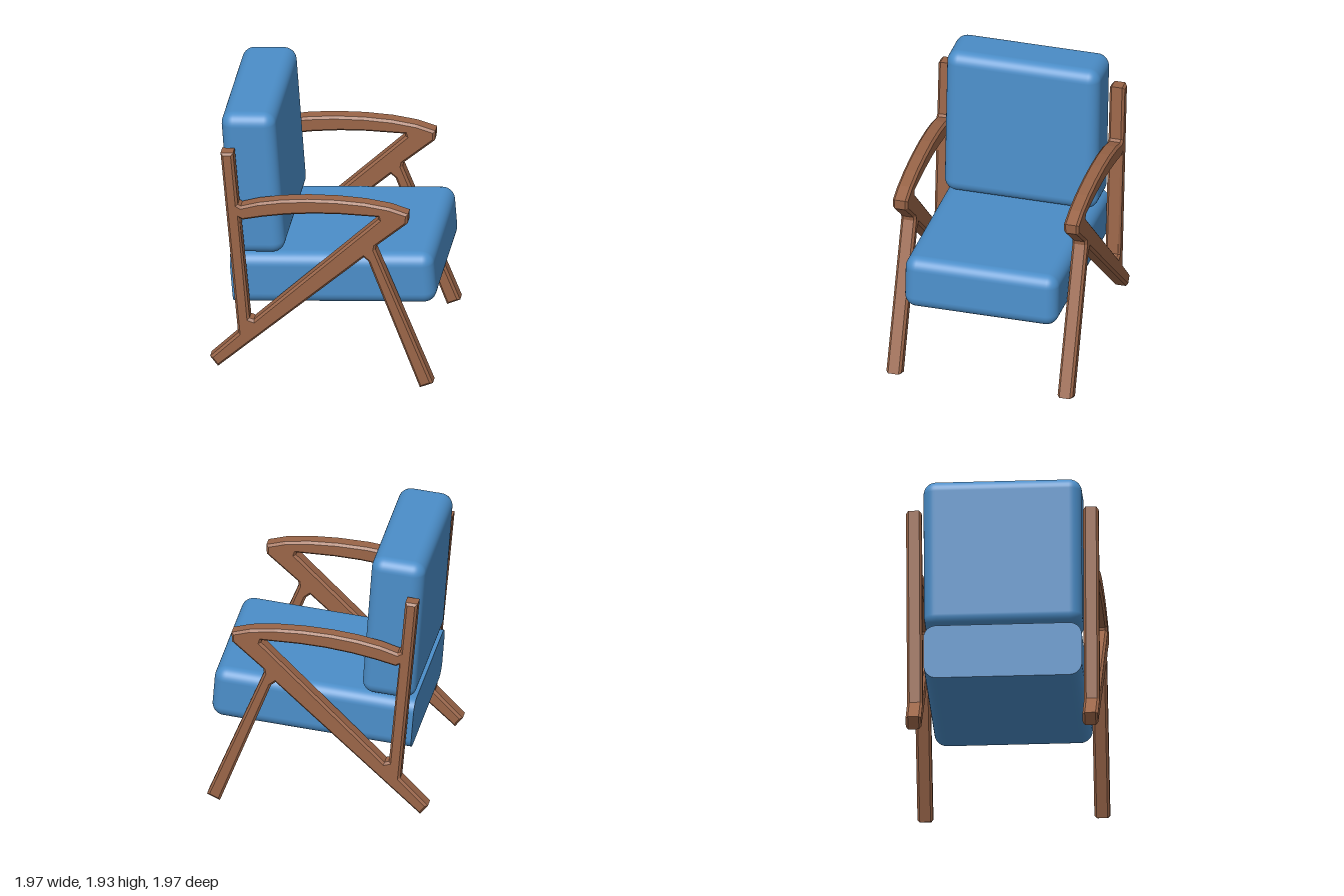
import * as THREE from 'three';
import { RoundedBoxGeometry } from 'three/addons/geometries/RoundedBoxGeometry.js';

const wood = new THREE.MeshStandardMaterial({ color: 0x9a6548 });
const fabric = new THREE.MeshStandardMaterial({ color: 0x4b8ec9 });
const toPoints = (list) => list.map(([x, y]) => new THREE.Vector2(x, y));

// One side frame: post, curved arm, diagonal and front leg in a single outline
function sideFrameGeometry() {
  const outline = new THREE.Shape(toPoints([
    [-0.71, 0.05], [0.285, 0.965], [0.315, 0.94],        // diagonal underside
    [0.668, 0.0], [0.757, 0.04],                         // front leg
    [0.365, 1.03], [0.37, 1.06], [0.585, 1.25],          // diagonal nose
    [0.588, 1.32], [0.46, 1.358], [0.29, 1.38], [0.1, 1.386],
    [-0.1, 1.378], [-0.28, 1.357], [-0.44, 1.325], [-0.555, 1.288], [-0.575, 1.3], // arm top
    [-0.608, 1.69], [-0.693, 1.685], [-0.573, 0.315],    // back post
    [-0.764, 0.12],                                      // rear foot
  ]));
  outline.holes.push(new THREE.Path(toPoints([
    [-0.565, 1.2], [-0.545, 1.185], [-0.4, 1.22], [-0.24, 1.25], [-0.06, 1.272], [0.12, 1.282],
    [0.38, 1.282], [0.385, 1.265],
    [-0.465, 0.425], [-0.495, 0.435],
  ])));
  const bevel = 0.016, width = 0.105;
  const geometry = new THREE.ExtrudeGeometry(outline, {
    depth: width - 2 * bevel, bevelThickness: bevel, bevelSize: bevel,
    bevelOffset: -bevel, bevelSegments: 1,
  });
  return geometry.translate(0, 0, bevel - width / 2);
}

// Seat cushion: rounded everywhere but cut flat at the rear
function seatGeometry(length, height, width, radius) {
  const geometry = new RoundedBoxGeometry(length + radius, height, width, 5, radius);
  geometry.translate(-radius / 2, 0, 0);
  const { position, normal } = geometry.attributes;
  const rear = -length / 2;
  for (let i = 0; i < position.count; i += 3) {
    const corners = [i, i + 1, i + 2];
    if (!corners.some((k) => position.getX(k) < rear - 1e-4)) continue;
    for (const k of corners) {
      position.setX(k, rear);
      normal.setXYZ(k, -1, 0, 0);
    }
  }
  return geometry;
}

export function createModel() {
  const model = new THREE.Group();
  model.name = 'armchair';
  const add = (name, geometry, material, x, y, z, tilt = 0) => {
    const mesh = new THREE.Mesh(geometry, material);
    mesh.name = name;
    mesh.position.set(x, y, z);
    mesh.rotation.z = tilt;
    model.add(mesh);
  };

  // Wooden frames on both sides
  const frame = sideFrameGeometry();
  add('rightSideFrame', frame, wood, 0, 0, 0.598);
  add('leftSideFrame', frame, wood, 0, 0, -0.598);

  // Cushions, both leaning back slightly
  add('seatCushion', seatGeometry(1.385, 0.375, 1.07, 0.085), fabric, 0.055, 0.712, 0, 0.076);
  add('backCushion', new RoundedBoxGeometry(0.37, 1.06, 1.07, 5, 0.085), fabric, -0.497, 1.39, 0, 0.07);

  // The chair stands diagonally
  model.rotation.y = Math.PI / 4;
  const root = new THREE.Group();
  root.add(model);
  return root;
}
